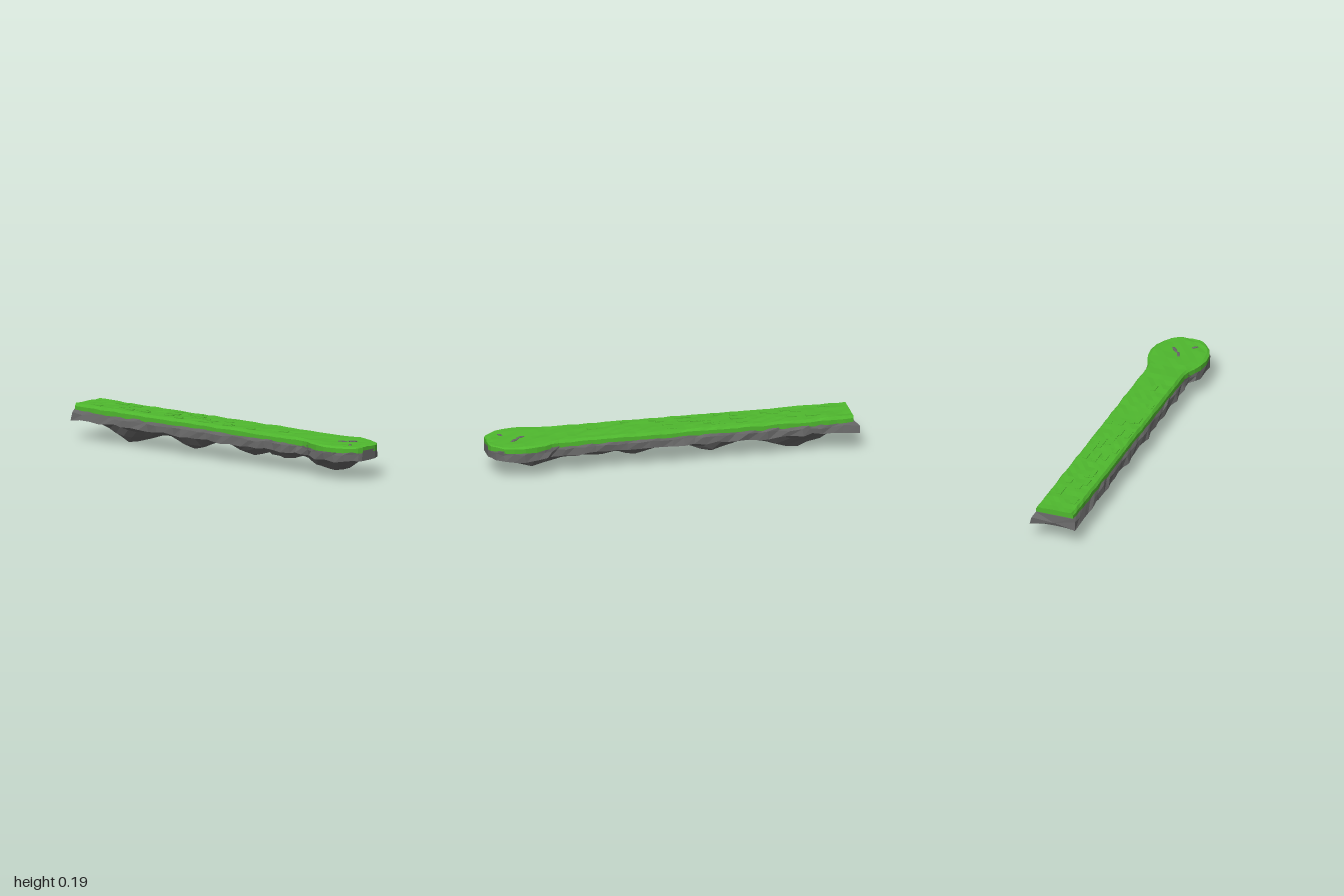
import * as THREE from 'three';

// Seeded random in [-1, 1]
function makeRandom(seed) {
  let s = seed;
  return () => {
    s = (s * 16807) % 2147483647;
    return (s / 2147483647) * 2 - 1;
  };
}

// Piecewise linear lookup in a list of [x, value]
function lookup(points, x) {
  if (x <= points[0][0]) return points[0][1];
  for (let i = 1; i < points.length; i++) {
    const [x0, v0] = points[i - 1], [x1, v1] = points[i];
    if (x <= x1) return v0 + ((v1 - v0) * (x - x0)) / (x1 - x0);
  }
  return points[points.length - 1][1];
}

// Half width of the walkway: a straight strip ending in a round head
const HALF_WIDTH = [
  [-1, 0.106], [0.6, 0.106], [0.65, 0.113], [0.7, 0.135], [0.75, 0.151], [0.81, 0.157],
  [0.87, 0.15], [0.92, 0.132], [0.96, 0.1], [0.98, 0.075], [0.99, 0.05],
];

// Lowest line of the rock along the walkway
const KEEL = [
  [-1, 0.11], [-0.87, 0.1], [-0.81, 0.055], [-0.75, 0.035], [-0.67, 0.003], [-0.58, 0.035],
  [-0.5, 0.05], [-0.42, 0.085], [-0.34, 0.06], [-0.23, 0.025], [-0.12, 0.055], [-0.05, 0.09],
  [0.02, 0.092], [0.1, 0.06], [0.2, 0.04], [0.3, 0.075], [0.39, 0.05], [0.47, 0.06],
  [0.55, 0.085], [0.61, 0.055], [0.73, 0.025], [0.83, 0.045], [0.89, 0.06], [0.92, 0.1], [1, 0.115],
];

// Skin of flat faces over closed rings of [x, y, z], with both ends capped
function loft(rings) {
  const out = [];
  const n = rings[0].length;
  const tri = (a, b, c) => out.push(...a, ...b, ...c);
  for (let i = 0; i < rings.length - 1; i++) {
    for (let j = 0; j < n; j++) {
      const k = (j + 1) % n;
      tri(rings[i][j], rings[i][k], rings[i + 1][j]);
      tri(rings[i][k], rings[i + 1][k], rings[i + 1][j]);
    }
  }
  const middle = (r) => [0, 1, 2].map((c) => r.reduce((sum, p) => sum + p[c], 0) / n);
  const first = rings[0], last = rings[rings.length - 1];
  for (let j = 0; j < n; j++) {
    const k = (j + 1) % n;
    tri(first[k], first[j], middle(first));
    tri(last[j], last[k], middle(last));
  }
  const geometry = new THREE.BufferGeometry();
  geometry.setAttribute('position', new THREE.Float32BufferAttribute(out, 3));
  geometry.computeVertexNormals();
  return geometry;
}

// Stations along x: even steps on the strip, finer steps round the head
function stations(start, step) {
  const xs = [];
  for (let x = start; x < 0.6; x += step) xs.push(x);
  return xs.concat([0.62, 0.66, 0.7, 0.75, 0.81, 0.87, 0.92, 0.96, 0.98, 0.99]);
}

function grassGeometry() {
  const rand = makeRandom(17);
  const rings = stations(-0.97, 0.045).map((x) => {
    const w = lookup(HALF_WIDTH, x) + rand() * 0.0015;
    const top = lookup([[-1, 0.197], [0.55, 0.197], [0.75, 0.192], [1, 0.187]], x);
    const hem = 0.158 + rand() * 0.004;
    const ring = [[-w, hem], [-w, 0.183 + rand() * 0.003]];
    for (const f of [-0.9, -0.6, -0.3, 0, 0.3, 0.6, 0.9]) ring.push([f * w, top + rand() * 0.0025]);
    ring.push([w, 0.183 + rand() * 0.003], [w, hem], [0, 0.16]);
    return ring.map(([z, y]) => [x, y, z]);
  });
  return loft(rings);
}

function rockGeometry() {
  const rand = makeRandom(91);
  const xs = stations(-0.975, 0.058);
  const rings = xs.map((x, i) => {
    const w = lookup(HALF_WIDTH, x);
    const keel = lookup(KEEL, x);
    const ends = i === 0 || x > 0.95;
    const bulge = x < 0.62 ? 0.012 : 0;
    // One side from rim to belly; s is the side of z
    const side = (s) => {
      const wall = 0.113 + rand() * 0.008;
      const lower = (t) => wall + (keel - wall) * t;
      return [
        [s * (w - 0.004), 0.168],
        [s * (w + bulge * 0.6 + rand() * 0.006), 0.148 + rand() * 0.006],
        [s * (w + bulge + rand() * 0.01), wall],
        [s * w * (0.66 + rand() * 0.1), lower(0.25 + rand() * 0.18)],
        [s * w * (0.34 + rand() * 0.08), lower(0.68 + rand() * 0.2)],
      ];
    };
    const ring = [...side(1), [rand() * 0.012, keel], ...side(-1).reverse()];
    return ring.map(([z, y]) => [x + (ends ? 0 : rand() * 0.012), y, z]);
  });
  // Ragged corners at the square end
  rings[0][9][0] = rings[0][8][0] = -1;
  rings[0][8][2] = -0.128;
  rings[0][2][0] = -0.985;
  return loft(rings);
}

export function createModel() {
  const group = new THREE.Group();
  const grassMaterial = new THREE.MeshStandardMaterial({ color: 0x4fb82e, flatShading: true });
  const rockMaterial = new THREE.MeshStandardMaterial({ color: 0x666666, flatShading: true });
  const add = (name, geometry, material) => {
    const mesh = new THREE.Mesh(geometry, material);
    mesh.name = name;
    group.add(mesh);
    return mesh;
  };

  add('grass', grassGeometry(), grassMaterial);
  add('rock', rockGeometry(), rockMaterial);

  // Bare stone showing through the grass of the head
  const stones = [
    [0.845, -0.035, 0.035, 0.011, 0.7], [0.805, 0, 0.03, 0.01, 0.4], [0.905, 0.055, 0.02, 0.009, -0.9],
  ];
  for (const [x, z, length, width, turn] of stones) {
    const stone = add('bareStone', new THREE.IcosahedronGeometry(1, 0), rockMaterial);
    stone.scale.set(length, 0.004, width);
    stone.rotation.y = turn;
    stone.position.set(x, 0.19, z);
  }

  // Thin raised tufts of turf scattered along the strip
  const rand = makeRandom(5);
  for (let i = 0; i < 24; i++) {
    const tuft = add('turfTuft', new THREE.BoxGeometry(0.07 + rand() * 0.03, 0.006, 0.025), grassMaterial);
    tuft.position.set(-0.18 + rand() * 0.72, 0.197, rand() * 0.08);
    tuft.rotation.z = rand() * 0.03;
  }
  return group;
}
